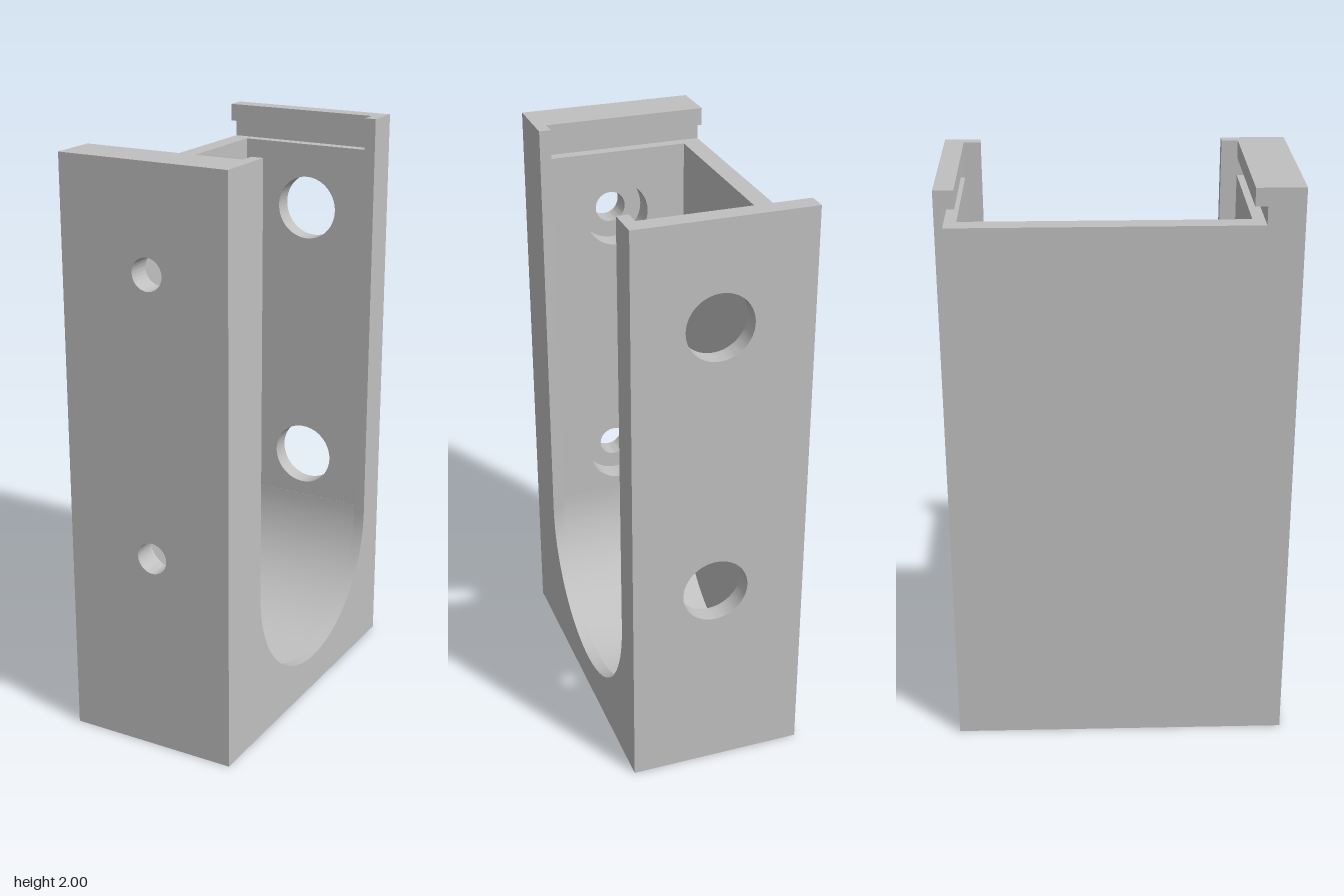
import * as THREE from 'three';
import { toCreasedNormals } from 'three/addons/utils/BufferGeometryUtils.js';

// Main dimensions
const W = 0.3, H = 2, D = 0.575;           // half width, height, half depth
const ZB = -0.51, ZF = 0.415;              // cavity back and front
const XL = -0.235, XR = 0.26;              // cavity left and right
const ZC = (ZB + ZF) / 2, ARC_Y = 0.53;    // axis of the rounded floor
const RAIL_Y = 1.88, LIP_Y = 1.94;         // lid slot bottom and top
const HOLE_X = 0.013, HOLE_Y = [0.695, 1.65];
const SMALL = 0.054, BIG = 0.113;

export function createModel() {
  const group = new THREE.Group();
  const grey = new THREE.MeshStandardMaterial({ color: 0xc0c0c0 });
  grey.name = 'plain grey';

  function add(name, geometry) {
    const mesh = new THREE.Mesh(toCreasedNormals(geometry, 0.5), grey);
    mesh.name = name;
    group.add(mesh);
  }

  const polygon = (pts) => new THREE.Shape(pts.map(([x, y]) => new THREE.Vector2(x, y)));
  const extrude = (shape, depth) =>
    new THREE.ExtrudeGeometry(shape, { depth, bevelEnabled: false, curveSegments: 32 });

  // One layer of an end wall, drilled twice, optionally cut by the lid slot
  function wallLayer(name, z0, z1, radius, slotted) {
    const slot = slotted ? [[-W, LIP_Y], [XR, LIP_Y], [XR, RAIL_Y], [-W, RAIL_Y]] : [];
    const shape = polygon([[-W, 0], [W, 0], [W, H], [-W, H], ...slot]);
    for (const y of HOLE_Y) {
      const hole = new THREE.Path();
      hole.absarc(HOLE_X, y, radius, 0, Math.PI * 2, true);
      shape.holes.push(hole);
    }
    add(name, extrude(shape, z1 - z0).translate(0, 0, z0));
  }

  // Front wall: screw holes counterbored from inside
  wallLayer('frontWallOuter', 0.495, D, SMALL, false);
  wallLayer('frontWallCounterbore', 0.455, 0.495, BIG, false);
  wallLayer('frontWallRail', ZF, 0.455, BIG, true);

  // Back wall: large access holes
  wallLayer('backWallOuter', -D, -0.55, BIG, false);
  wallLayer('backWallRail', -0.55, ZB, BIG, true);

  // Closed side panel, lower than the end walls
  add('sidePanel', new THREE.BoxGeometry(XL + W, RAIL_Y, ZF - ZB)
    .translate((XL - W) / 2, RAIL_Y / 2, ZC));

  // U-shaped section across the cavity, extruded along x
  function uSection(name, x0, x1, radius, top) {
    const shape = polygon([[-ZF, 0], [-ZB, 0], [-ZB, top], [-ZC + radius, top]]);
    if (top > ARC_Y) shape.lineTo(-ZC + radius, ARC_Y);
    shape.absarc(-ZC, ARC_Y, radius, 0, -Math.PI, true);
    if (top > ARC_Y) shape.lineTo(-ZC - radius, top);
    shape.lineTo(-ZF, top);
    add(name, extrude(shape, x1 - x0).rotateY(Math.PI / 2).translate(x0, 0, 0));
  }
  uSection('roundedFloor', XL, XR, (ZF - ZB) / 2 - 0.0005, ARC_Y);
  uSection('openSideLip', XR, W, 0.4075, H);

  return group;
}
